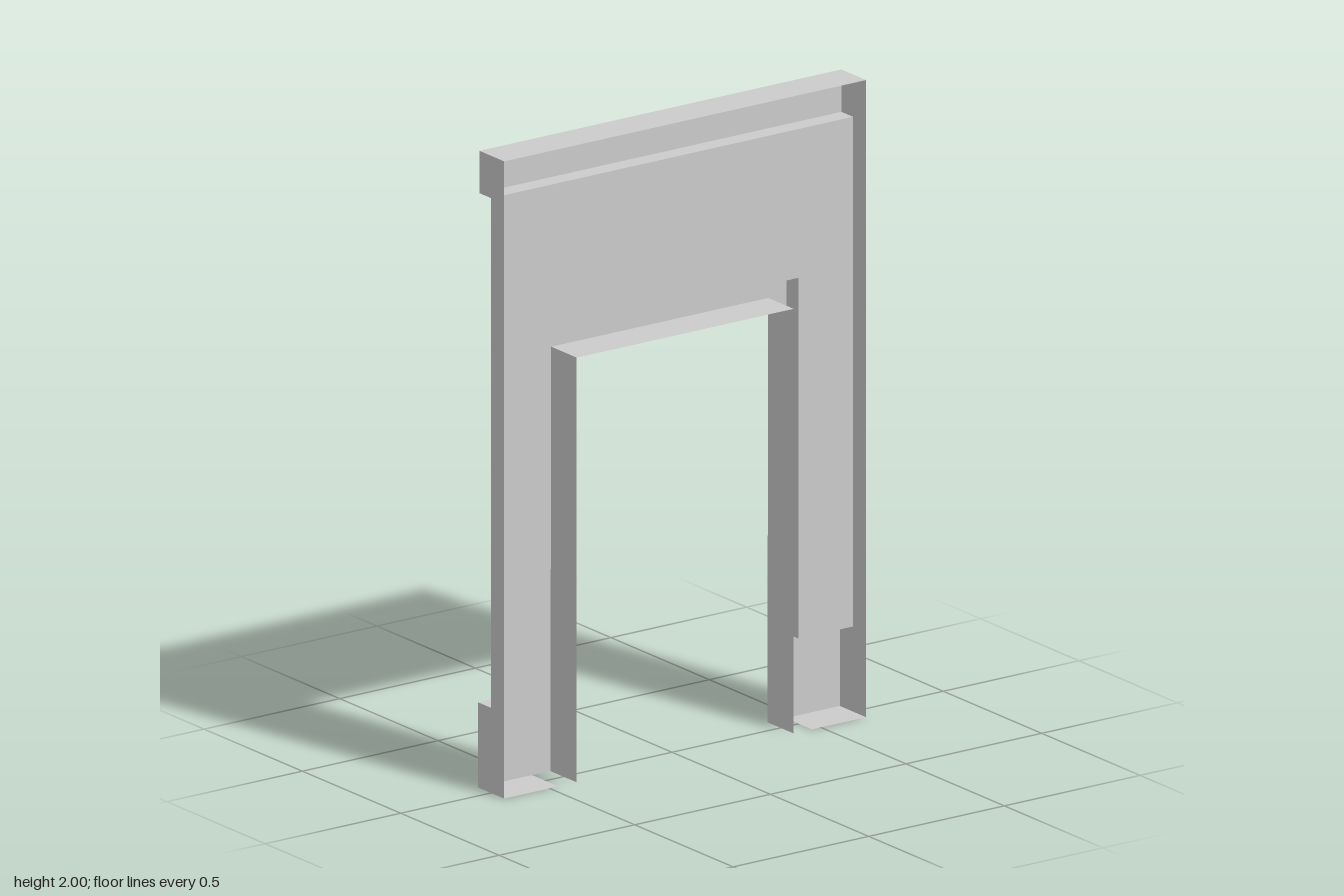
import * as THREE from 'three';

const W = 0.667, TRIM = 0.467, OPEN = 0.4;           // half widths
const H = 2, CORNICE = 1.867, TRIM_TOP = 1.4, OPEN_TOP = 1.333, BASE = 0.267;
const FRONT = 0.067, WALL = 0, CORNICE_BACK = -0.059;

// the trim and feet lean back very slightly towards the ground
const reliefZ = y => -0.067 + 0.005 * (y / TRIM_TOP);

const material = new THREE.MeshStandardMaterial({
  color: 0xcccccc, flatShading: true, side: THREE.DoubleSide,
});

const mirrored = half => [...half, ...half.map(([x, y]) => [-x, y]).reverse()];

function mesh(name, geometry) {
  const m = new THREE.Mesh(geometry, material);
  m.name = name;
  return m;
}

// flat outline in x/y, placed at depth z (a number or a function of y)
function panel(name, points, z) {
  const shape = new THREE.Shape(points.map(([x, y]) => new THREE.Vector2(x, y)));
  const geometry = new THREE.ShapeGeometry(shape);
  const p = geometry.attributes.position;
  for (let i = 0; i < p.count; i++) p.setZ(i, typeof z === 'function' ? z(p.getY(i)) : z);
  geometry.computeVertexNormals();
  return mesh(name, geometry);
}

// thin band following an x/y path, running in depth from zFront to zBack
function band(name, path, zFront, zBack) {
  const v = [];
  for (let i = 0; i < path.length - 1; i++) {
    const [ax, ay] = path[i], [bx, by] = path[i + 1];
    const za = typeof zBack === 'function' ? zBack(ay) : zBack;
    const zb = typeof zBack === 'function' ? zBack(by) : zBack;
    v.push(ax, ay, zFront, bx, by, zFront, bx, by, zb);
    v.push(ax, ay, zFront, bx, by, zb, ax, ay, za);
  }
  const geometry = new THREE.BufferGeometry();
  geometry.setAttribute('position', new THREE.Float32BufferAttribute(v, 3));
  geometry.computeVertexNormals();
  return mesh(name, geometry);
}

export function createModel() {
  const group = new THREE.Group();
  group.name = 'doorwayShell';

  // recessed wall face around the trim
  group.add(panel('wall', mirrored([
    [W, CORNICE], [W, BASE], [TRIM, BASE], [TRIM, TRIM_TOP],
  ]), WALL));

  // raised door trim with its two feet, and the edges that step out to it
  group.add(panel('doorTrim', mirrored([
    [W, BASE], [W, 0], [OPEN, 0], [OPEN, OPEN_TOP],
  ]).concat([[-TRIM, BASE], [-TRIM, TRIM_TOP], [TRIM, TRIM_TOP], [TRIM, BASE]]), reliefZ));
  group.add(band('trimEdge', mirrored([[W, BASE], [TRIM, BASE], [TRIM, TRIM_TOP]]), WALL, reliefZ));

  // lining of the opening
  group.add(band('doorReveal', mirrored([[OPEN, 0], [OPEN, OPEN_TOP]]), FRONT, reliefZ));

  // cornice
  group.add(panel('corniceFace', mirrored([[W, CORNICE], [W, H]]), CORNICE_BACK));
  group.add(band('corniceUnderside', [[-W, CORNICE], [W, CORNICE]], WALL, CORNICE_BACK));
  group.add(band('top', [[-W, H], [W, H]], FRONT, CORNICE_BACK));

  // stepped side walls and the soles of the feet
  const profile = [
    [FRONT, 0], [FRONT, H], [CORNICE_BACK, H], [CORNICE_BACK, CORNICE],
    [WALL, CORNICE], [WALL, BASE], [reliefZ(BASE), BASE], [reliefZ(0), 0],
  ];
  for (const [side, s] of [['left', 1], ['right', -1]]) {
    const wall = panel(side + 'Side', profile, 0);
    wall.rotation.y = -Math.PI / 2;
    wall.position.x = s * W;
    group.add(wall);
    group.add(band(side + 'Sole', [[s * TRIM, 0], [s * W, 0]], FRONT, reliefZ));
  }
  return group;
}
